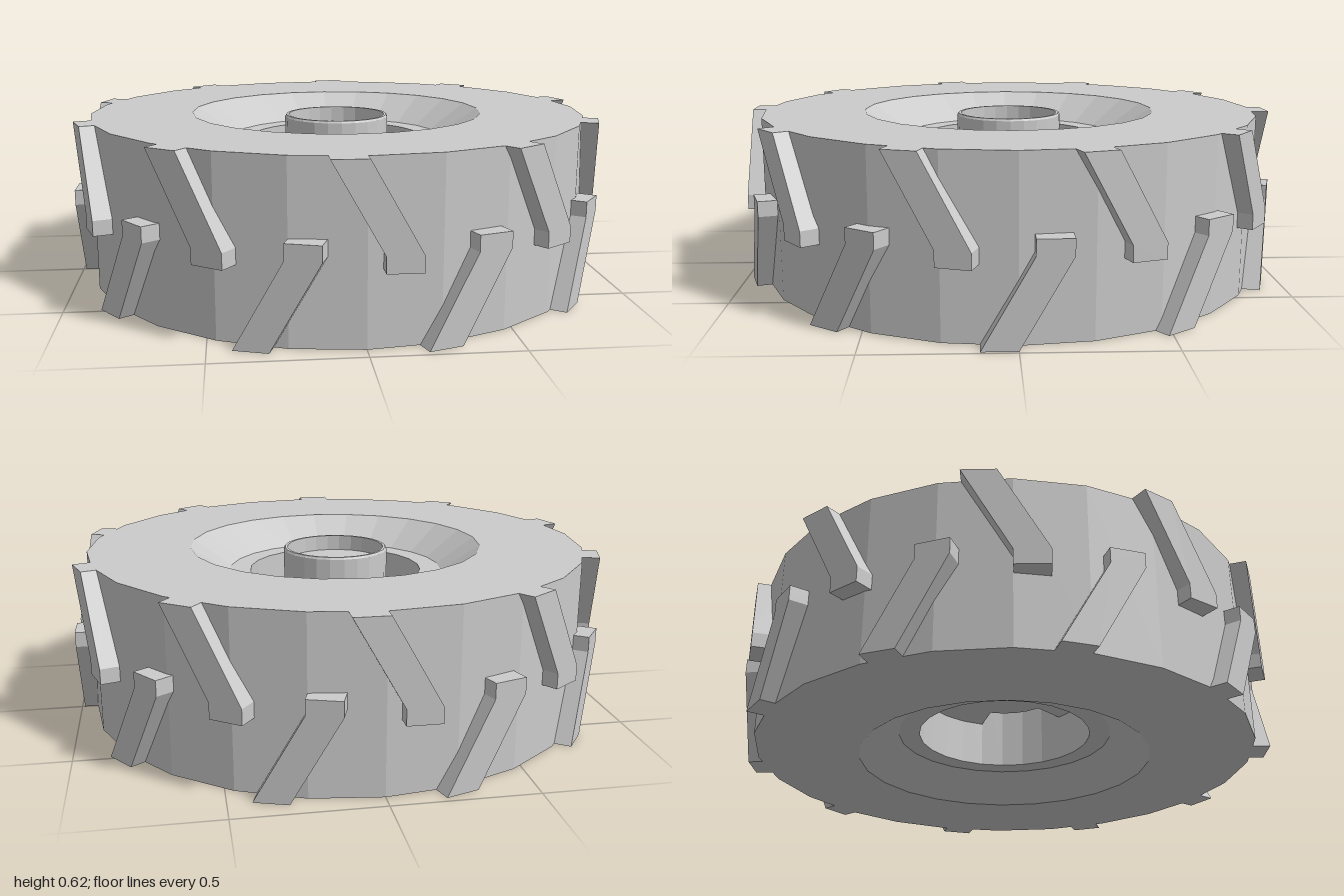
import * as THREE from 'three';

const H = 0.617, SIDES = 24;
const material = new THREE.MeshStandardMaterial({ color: 0xcccccc, flatShading: true });

function addPart(parent, name, geometry) {
  const mesh = new THREE.Mesh(geometry, material);
  mesh.name = name;
  parent.add(mesh);
  return mesh;
}

const points = (list) => list.map(([x, y]) => new THREE.Vector2(x, y));
const lathe = (list) => new THREE.LatheGeometry(points(list), SIDES);

// Extrudes a plan shape upwards from height y
function slab(shape, y, height) {
  const geometry = new THREE.ExtrudeGeometry(shape, { depth: height, bevelEnabled: false, curveSegments: 8 });
  return geometry.rotateX(-Math.PI / 2).translate(0, y, 0);
}

// Slanted tread bar with an upright foot; the lower row is its mirror image
function treadGeometry(lower) {
  let outline = [[0.05, 0.26], [0.17, 0.26], [0.17, 0.315], [0, H], [-0.12, H], [0.05, 0.315]];
  if (lower) outline = outline.map(([x, y]) => [x, H - y]).reverse();
  const shape = new THREE.Shape(points(outline));
  return new THREE.ExtrudeGeometry(shape, { depth: 0.09, bevelEnabled: false }).translate(0, 0, 0.9);
}

export function createModel() {
  const wheel = new THREE.Group();
  wheel.name = 'wheel';

  // Tyre with a sloping recess on both faces
  addPart(wheel, 'tyre', lathe([
    [0.41, 0.1], [0.556, 0], [0.94, 0], [0.94, H], [0.556, H], [0.41, H - 0.1],
  ]));

  // Rim ring lining the centre hole
  addPart(wheel, 'rim', lathe([[0.41, H - 0.1], [0.33, H - 0.1], [0.33, 0.1], [0.41, 0.1]]));

  // Two staggered rows of ten treads
  const treads = new THREE.Group();
  treads.name = 'treads';
  wheel.add(treads);
  const upper = treadGeometry(false), lower = treadGeometry(true);
  for (let i = 0; i < 10; i++) {
    addPart(treads, 'upperTread', upper).rotation.y = (i * Math.PI) / 5;
    addPart(treads, 'lowerTread', lower).rotation.y = ((i + 0.5) * Math.PI) / 5;
  }

  // Hub cup with a recessed cap
  addPart(wheel, 'hub', lathe([
    [0, 0.28], [0.2, 0.28], [0.2, 0.595], [0.195, 0.603], [0.185, 0.603], [0.185, 0.545], [0, 0.545],
  ]));

  // Three wedge spokes, each with a round-ended lug on top
  const wedge = new THREE.Shape();
  wedge.absarc(0, 0, 0.335, -Math.PI * 2 / 3, -Math.PI / 3, false);
  wedge.absarc(0, 0, 0.19, -Math.PI / 3, -Math.PI * 2 / 3, true);
  const lug = new THREE.Shape();
  lug.moveTo(0.038, -0.18);
  lug.lineTo(-0.038, -0.18);
  lug.absarc(0, -0.257, 0.038, Math.PI, Math.PI * 2, false);
  const wedgeGeometry = slab(wedge, 0.28, 0.07);
  const lugGeometry = slab(lug, 0.34, 0.04);
  for (let i = 0; i < 3; i++) {
    const spoke = new THREE.Group();
    spoke.name = 'spoke';
    spoke.rotation.y = (i * Math.PI * 2) / 3;
    addPart(spoke, 'spokePlate', wedgeGeometry);
    addPart(spoke, 'spokeLug', lugGeometry);
    wheel.add(spoke);
  }

  return wheel;
}
